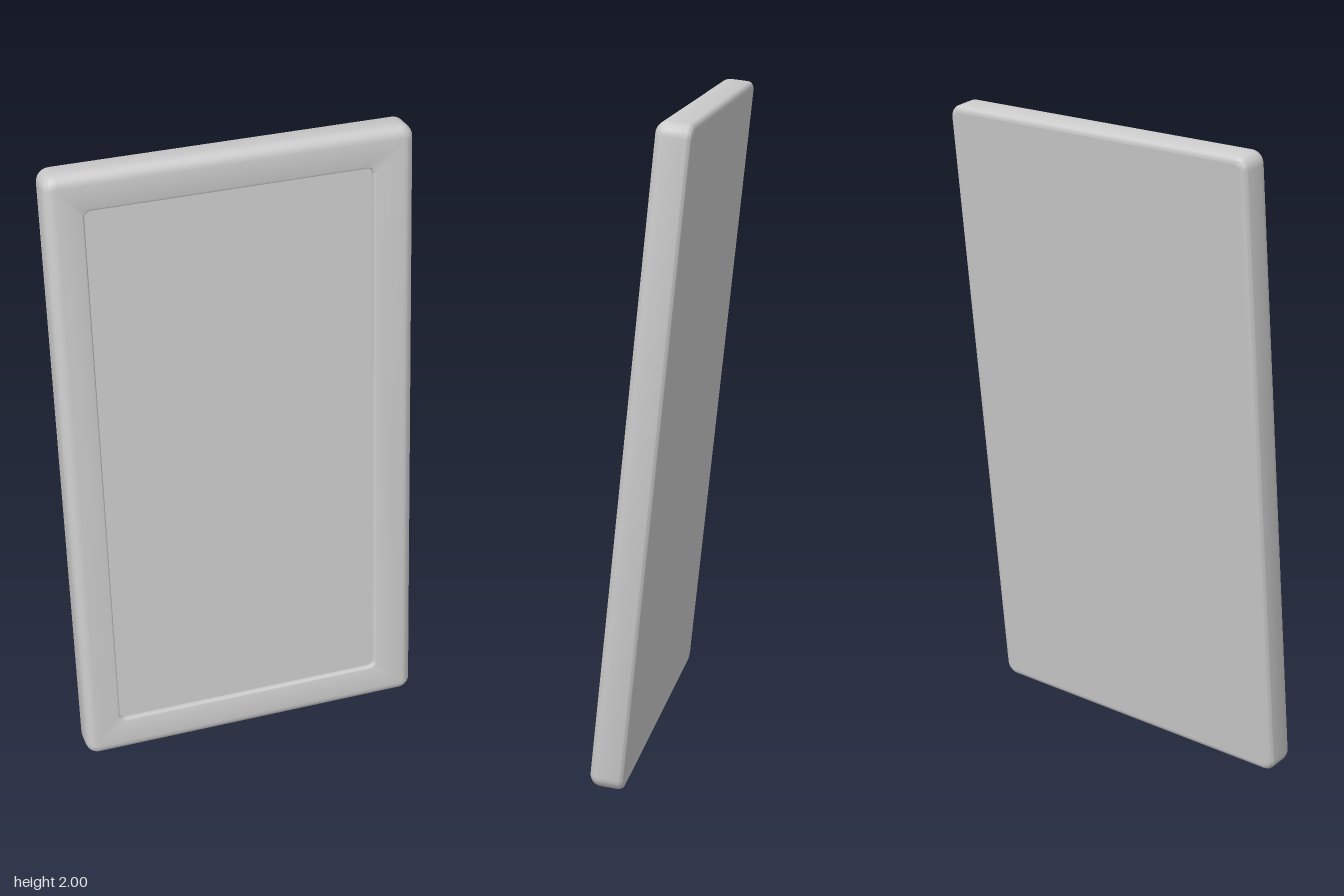
import * as THREE from 'three';
import { toCreasedNormals } from 'three/addons/utils/BufferGeometryUtils.js';

const HW = 0.558, HH = 1.003, HT = 0.054; // half width, height, thickness
const TILT = THREE.MathUtils.degToRad(6);
const STEPS = 6; // segments per rounded corner
const OPENING = { cx: -0.009, cy: 0.004, hw: 0.436, hh: 0.885, r: 0.02 };
const DEPTH = 0.016;

// Rounded rectangle, counter-clockwise seen from the front
function ring({ cx = 0, cy = 0, hw, hh, r }, z) {
  const points = [];
  [[1, 1], [-1, 1], [-1, -1], [1, -1]].forEach(([sx, sy], corner) => {
    for (let i = 0; i <= STEPS; i++) {
      const a = (corner + i / STEPS) * Math.PI / 2;
      points.push(new THREE.Vector3(
        cx + sx * (hw - r) + r * Math.cos(a),
        cy + sy * (hh - r) + r * Math.sin(a), z));
    }
  });
  return points;
}

const outer = (inset, z) =>
  ring({ hw: HW - inset, hh: HH - inset, r: Math.max(0.04 - inset, 0.004) }, z);
const inner = (grow, z) =>
  ring({ ...OPENING, hw: OPENING.hw + grow, hh: OPENING.hh + grow, r: OPENING.r + grow }, z);

// Skin between successive rings
function loft(rings) {
  const n = rings[0].length, index = [];
  for (let i = 0; i < rings.length - 1; i++) {
    for (let j = 0; j < n; j++) {
      const k = (j + 1) % n;
      const a = i * n + j, b = i * n + k, c = b + n, d = a + n;
      index.push(a, b, c, a, c, d);
    }
  }
  const geometry = new THREE.BufferGeometry().setFromPoints(rings.flat());
  geometry.setIndex(index);
  return toCreasedNormals(geometry, 0.6);
}

export function createModel() {
  const material = new THREE.MeshStandardMaterial({ color: 0xcccccc });
  const model = new THREE.Group();
  model.name = 'leaningPanel';
  const slab = new THREE.Group();
  slab.name = 'slab';
  slab.rotation.x = -TILT;
  slab.position.y = 1.001;
  model.add(slab);

  const add = (name, geometry) => {
    const mesh = new THREE.Mesh(geometry, material);
    mesh.name = name;
    slab.add(mesh);
    return mesh;
  };

  // Frame: small back rounding, larger front rounding, then the recess lip and wall
  const rings = [];
  const backR = 0.02, frontR = 0.035, lipR = 0.006;
  for (let i = 0; i <= STEPS; i++) {
    const a = i / STEPS * Math.PI / 2;
    rings.push(outer(backR * (1 - Math.sin(a)), -HT + backR * (1 - Math.cos(a))));
  }
  for (let i = 0; i <= STEPS; i++) {
    const a = i / STEPS * Math.PI / 2;
    rings.push(outer(frontR * (1 - Math.cos(a)), HT - frontR * (1 - Math.sin(a))));
  }
  for (let i = 0; i <= 3; i++) {
    const a = i / 3 * Math.PI / 2;
    rings.push(inner(lipR * (1 - Math.sin(a)), HT - lipR * (1 - Math.cos(a))));
  }
  rings.push(inner(0, HT - DEPTH));
  add('frame', loft(rings));

  // Flat recessed panel
  const flat = (points) => new THREE.ShapeGeometry(
    new THREE.Shape(points.map((p) => new THREE.Vector2(p.x, p.y))));
  add('recessedPanel', flat(inner(0, 0))).position.z = HT - DEPTH;

  // Flat back
  const back = add('backPanel', flat(outer(backR, 0)));
  back.rotation.y = Math.PI;
  back.position.z = -HT;

  return model;
}
